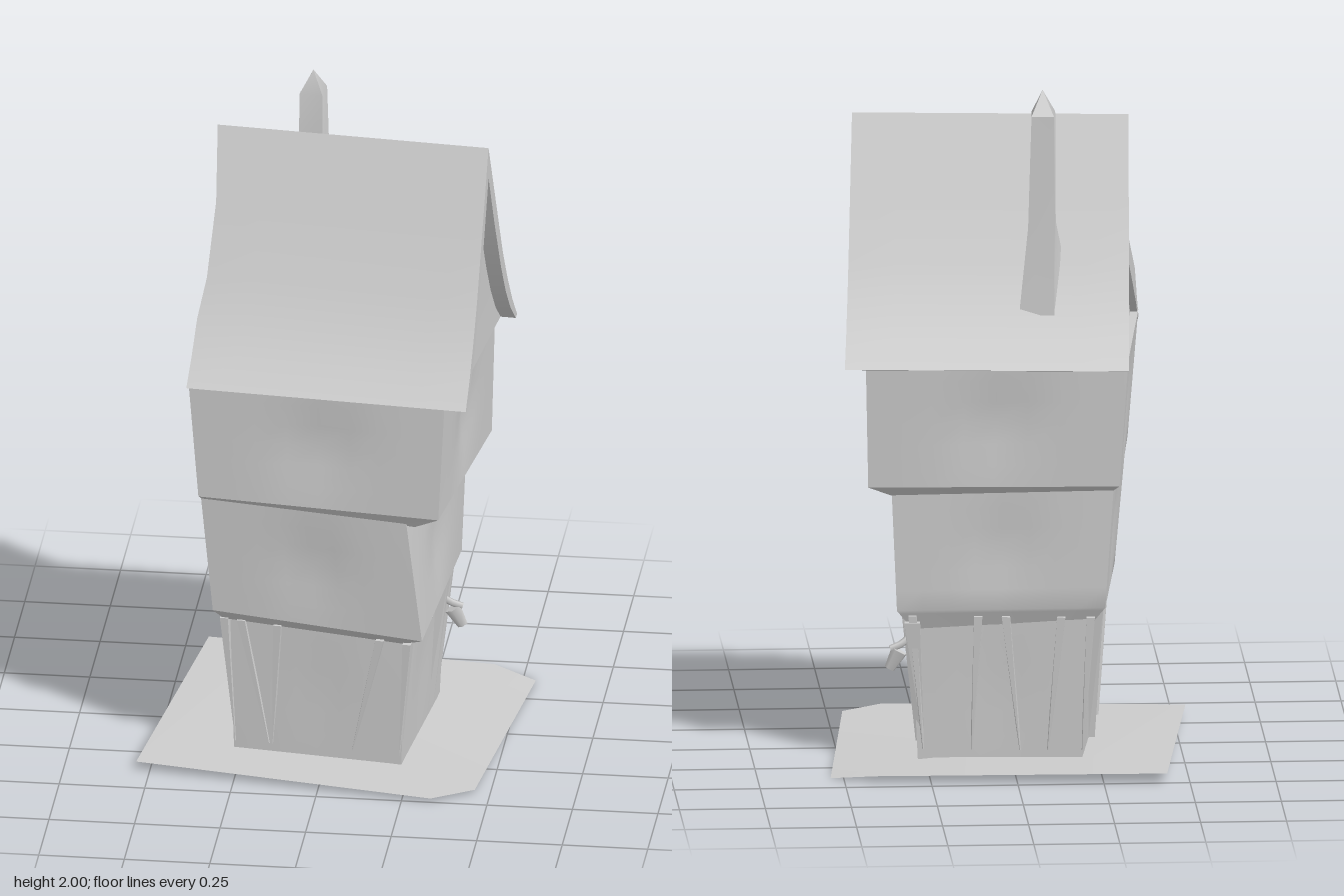
import * as THREE from 'three';
import { toCreasedNormals } from 'three/addons/utils/BufferGeometryUtils.js';
import { ConvexGeometry } from 'three/addons/geometries/ConvexGeometry.js';

const V = (x, y, z) => new THREE.Vector3(x, y, z);
const plaster = new THREE.MeshStandardMaterial({ color: 0xcccccc, side: THREE.DoubleSide });
plaster.name = 'pale grey';

// Collects quads and triangles into one geometry with soft faces and sharp edges.
class Builder {
  constructor() { this.p = []; }
  tri(a, b, c) { for (const v of [a, b, c]) this.p.push(v.x, v.y, v.z); }
  quad(a, b, c, d) { this.tri(a, b, c); this.tri(a, c, d); }
  mesh(name, crease = 0.55) {
    const g = new THREE.BufferGeometry();
    g.setAttribute('position', new THREE.Float32BufferAttribute(this.p, 3));
    g.computeVertexNormals();
    const m = new THREE.Mesh(toCreasedNormals(g, crease), plaster);
    m.name = name;
    return m;
  }
}

// Four-sided storey through rings of corners: front left, front right, back right, back left.
function storey(name, rings, dent) {
  const b = new Builder(), N = 8, M = 6;
  for (let r = 0; r + 1 < rings.length; r++) {
    const lo = rings[r], hi = rings[r + 1];
    const tall = hi[0].y - lo[0].y > 0.2;
    for (let s = 0; s < 4; s++) {
      const t = (s + 1) % 4;
      const out = V(lo[s].z - lo[t].z, 0, lo[t].x - lo[s].x).normalize();
      const at = (i, j) => {
        const u = i / N, v = j / M;
        const p = lo[s].clone().lerp(lo[t], u).lerp(hi[s].clone().lerp(hi[t], u), v);
        // shallow hollow in the middle of each tall wall
        const h = Math.exp(-(((u - 0.5) / 0.14) ** 2)) * Math.sin(Math.PI * v) ** 2;
        return tall ? p.addScaledVector(out, -dent * h) : p;
      };
      for (let i = 0; i < N; i++) for (let j = 0; j < M; j++)
        b.quad(at(i, j), at(i + 1, j), at(i + 1, j + 1), at(i, j + 1));
    }
  }
  const top = rings[rings.length - 1], bot = rings[0];
  b.quad(top[0], top[1], top[2], top[3]);
  b.quad(bot[3], bot[2], bot[1], bot[0]);
  return b.mesh(name);
}

// Roof ends: front eave, ridge and back eave in plan (x, z).
const LEFT = { front: [-0.4, 0.32], ridge: [-0.35, -0.03], back: [-0.33, -0.38] };
const RIGHT = { front: [0.425, 0.39], ridge: [0.45, 0.04], back: [0.492, -0.308] };
// Profile: distance from the ridge (0..1), height.
const OUTER = [[1, 1.2], [0.83, 1.275], [0.66, 1.37], [0.5, 1.475], [0.25, 1.68], [0, 1.885]];
const INNER = [[0.95, 1.195], [0.77, 1.255], [0.6, 1.335], [0.44, 1.435], [0.21, 1.61], [0, 1.79]];
const both = (pr) => [...pr, ...pr.slice(0, -1).reverse().map(([f, y]) => [-f, y])];

function roofPoint([f, y], t) {
  const end = (e) => {
    const k = f > 0 ? e.front : e.back, a = Math.abs(f);
    return [e.ridge[0] + (k[0] - e.ridge[0]) * a, e.ridge[1] + (k[1] - e.ridge[1]) * a];
  };
  const l = end(LEFT), r = end(RIGHT);
  // the left verge waves a little on the front slope
  if (f > 0) l[0] += 0.02 * Math.sin(Math.PI * Math.min(1, f * 1.5));
  return V(l[0] + (r[0] - l[0]) * t, y, l[1] + (r[1] - l[1]) * t);
}

function roof() {
  const b = new Builder(), o = both(OUTER), n = both(INNER), S = 6, last = o.length - 1;
  for (let k = 0; k < S; k++) {
    const t0 = k / S, t1 = (k + 1) / S;
    for (let i = 0; i < last; i++) {
      b.quad(roofPoint(o[i], t0), roofPoint(o[i], t1), roofPoint(o[i + 1], t1), roofPoint(o[i + 1], t0));
      b.quad(roofPoint(n[i + 1], t0), roofPoint(n[i + 1], t1), roofPoint(n[i], t1), roofPoint(n[i], t0));
    }
    b.quad(roofPoint(n[0], t0), roofPoint(n[0], t1), roofPoint(o[0], t1), roofPoint(o[0], t0));
    b.quad(roofPoint(o[last], t0), roofPoint(o[last], t1), roofPoint(n[last], t1), roofPoint(n[last], t0));
  }
  for (let i = 0; i < last; i++) {
    b.quad(roofPoint(n[i], 1), roofPoint(n[i + 1], 1), roofPoint(o[i + 1], 1), roofPoint(o[i], 1));
    b.quad(roofPoint(o[i], 0), roofPoint(o[i + 1], 0), roofPoint(n[i + 1], 0), roofPoint(n[i], 0));
  }
  return b.mesh('roof', 0.5);
}

// Recessed wall under one end of the roof.
function gable(name, t, flip) {
  const b = new Builder();
  for (let i = 0; i + 1 < INNER.length; i++) {
    const [f, y] = INNER[i], [g, h] = INNER[i + 1];
    const q = [[f, y], [-f, y], [-g, h], [g, h]].map((p) => roofPoint(p, t));
    if (flip) q.reverse();
    b.quad(...q);
  }
  return b.mesh(name);
}

function convex(name, points) {
  const m = new THREE.Mesh(new ConvexGeometry(points), plaster);
  m.name = name;
  return m;
}

// Brace that widens from a thin foot to its head under the overhang.
function brace(foot, head, out, w = 0.012) {
  const side = V(-out.z, 0, out.x);
  const pts = [foot.clone().addScaledVector(out, 0.008)];
  for (const s of [-w, w]) {
    pts.push(foot.clone().addScaledVector(side, s * 0.3).addScaledVector(out, -0.01));
    pts.push(head.clone().addScaledVector(side, s).addScaledVector(out, -0.02));
    pts.push(head.clone().addScaledVector(side, s).addScaledVector(out, 0.025));
  }
  return convex('brace', pts);
}

export function createModel() {
  const house = new THREE.Group();
  house.name = 'crooked house';

  // Ground sheet with clipped right corners
  const ground = new Builder();
  const rim = [V(-0.54, 0.026, 0.375), V(0.335, 0.012, 0.5), V(0.455, 0.01, 0.42),
    V(0.538, 0, -0.38), V(0.41, 0.018, -0.44), V(-0.433, 0.03, -0.507)];
  rim.forEach((p, i) => ground.tri(V(0, 0.03, 0), p, rim[(i + 1) % rim.length]));
  house.add(ground.mesh('ground', 1));

  // Three storeys, each jutting out over the one below
  house.add(storey('groundFloor', [
    [V(-0.27, 0.02, 0.24), V(0.225, 0.015, 0.29), V(0.275, 0.015, -0.23), V(-0.2, 0.02, -0.28)],
    [V(-0.28, 0.46, 0.25), V(0.235, 0.43, 0.29), V(0.295, 0.43, -0.23), V(-0.22, 0.46, -0.29)],
  ], 0.006));
  house.add(storey('middleFloor', [
    [V(-0.3, 0.44, 0.25), V(0.23, 0.405, 0.29), V(0.29, 0.405, -0.23), V(-0.23, 0.43, -0.285)],
    [V(-0.328, 0.475, 0.275), V(0.29, 0.435, 0.333), V(0.337, 0.465, -0.25), V(-0.265, 0.48, -0.31)],
    [V(-0.362, 0.845, 0.285), V(0.245, 0.81, 0.338), V(0.352, 0.82, -0.245), V(-0.29, 0.845, -0.31)],
  ], 0.015));
  house.add(storey('upperFloor', [
    [V(-0.355, 0.83, 0.28), V(0.27, 0.8, 0.335), V(0.355, 0.81, -0.25), V(-0.29, 0.83, -0.31)],
    [V(-0.367, 0.847, 0.3), V(0.342, 0.84, 0.368), V(0.422, 0.84, -0.275), V(-0.305, 0.847, -0.335)],
    [V(-0.398, 1.225, 0.295), V(0.36, 1.22, 0.358), V(0.43, 1.22, -0.29), V(-0.33, 1.225, -0.345)],
  ], 0.02));

  // Roof and gables
  house.add(roof(), gable('rightGable', 0.945, false), gable('leftGable', 0.025, true));

  // Chimney: flared foot, square shaft, pointed cap
  const chimney = new Builder();
  const rings = [
    [V(-0.17, 1.4, -0.17), V(-0.05, 1.4, -0.148), V(-0.02, 1.36, -0.25), V(-0.12, 1.33, -0.26)],
    [V(-0.13, 1.6, -0.165), V(-0.06, 1.6, -0.155), V(-0.045, 1.6, -0.24), V(-0.12, 1.6, -0.247)],
    [V(-0.128, 1.93, -0.172), V(-0.06, 1.93, -0.165), V(-0.055, 1.93, -0.238), V(-0.12, 1.93, -0.243)],
  ];
  for (let i = 0; i < 4; i++) {
    const j = (i + 1) % 4;
    for (let r = 0; r < 2; r++) chimney.quad(rings[r][i], rings[r][j], rings[r + 1][j], rings[r + 1][i]);
    chimney.tri(rings[2][i], rings[2][j], V(-0.09, 2, -0.195));
  }
  house.add(chimney.mesh('chimney'));

  // Braces: foot x, head x along the front and back walls
  const braces = new THREE.Group();
  braces.name = 'braces';
  const F = V(-0.1, 0, 1).normalize(), B = V(0.1, 0, -1).normalize();
  const frontZ = (x) => 0.265 + x * 0.1, backZ = (x) => -0.262 + x * 0.1;
  for (const [a, c] of [[-0.265, -0.295], [-0.165, -0.245], [-0.155, -0.138], [0.08, 0.165], [0.22, 0.245]])
    braces.add(brace(V(a, 0.05, frontZ(a)), V(c, 0.445 - (c + 0.3) * 0.06, frontZ(c)), F));
  for (const [a, c] of [[-0.2, -0.225], [-0.1, -0.14], [-0.02, 0.02], [0.12, 0.1], [0.26, 0.29]])
    braces.add(brace(V(a, 0.05, backZ(a)), V(c, 0.45, backZ(c)), B));
  // side walls
  for (const [a, c] of [[-0.09, -0.12], [-0.22, -0.25]])
    braces.add(brace(V(0.265, 0.04, a), V(0.29, 0.43, c), V(1, 0, 0.1).normalize()));
  for (const [a, c] of [[-0.12, -0.16], [0.16, 0.2]])
    braces.add(brace(V(-0.25 - a * 0.1, 0.05, a), V(-0.26 - c * 0.1, 0.45, c), V(-1, 0, -0.1).normalize()));
  house.add(braces);

  // Beam end below the overhang on the right
  house.add(convex('beamEnd', [V(0.24, 0.43, 0.15), V(0.3, 0.43, 0.15), V(0.24, 0.43, 0.12),
    V(0.3, 0.43, 0.12), V(0.24, 0.355, 0.125), V(0.275, 0.37, 0.13)]));

  // Hanging lamp on a bent arm
  const arm = new THREE.CatmullRomCurve3([V(0.27, 0.42, -0.14), V(0.285, 0.375, -0.14), V(0.315, 0.345, -0.15), V(0.35, 0.33, -0.155)]);
  const armMesh = new THREE.Mesh(new THREE.TubeGeometry(arm, 8, 0.011, 5), plaster);
  armMesh.name = 'lampArm';
  const lamp = new THREE.Mesh(new THREE.CylinderGeometry(0.026, 0.016, 0.06, 5), plaster);
  lamp.name = 'lamp';
  lamp.position.set(0.338, 0.297, -0.155);
  lamp.rotation.z = 0.5;
  house.add(armMesh, lamp);
  return house;
}
